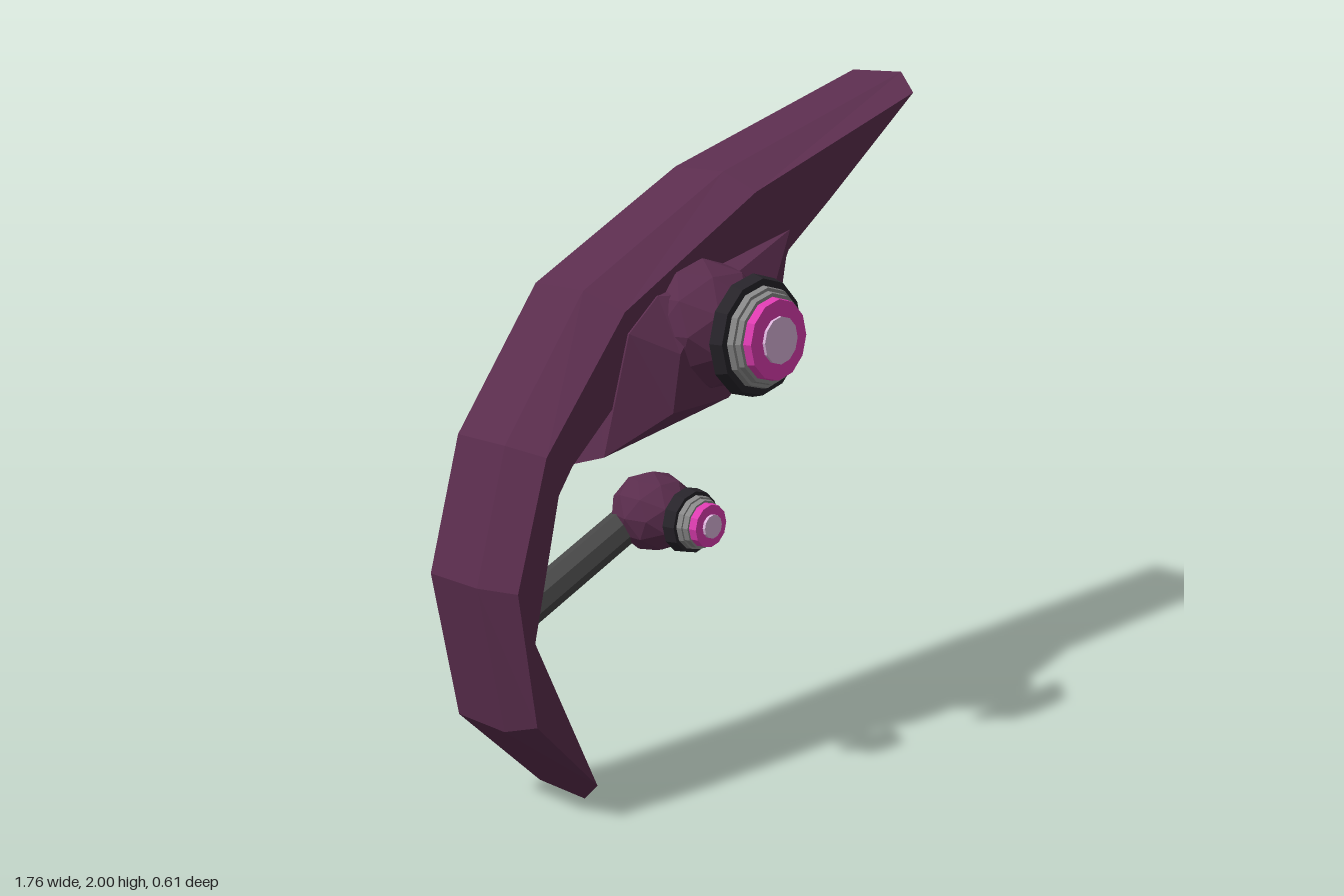
import * as THREE from 'three';

const mat = (name, color) => {
  const m = new THREE.MeshStandardMaterial({ color, flatShading: true });
  m.name = name;
  return m;
};

// Joins stacked outlines (counter-clockwise, back to front) and caps both ends
function loft(layers) {
  const n = layers[0].length;
  const pos = [];
  const tri = (a, b, c) => pos.push(...a, ...b, ...c);
  for (let k = 0; k < layers.length - 1; k++) {
    const lo = layers[k], hi = layers[k + 1];
    for (let i = 0; i < n; i++) {
      const j = (i + 1) % n;
      tri(lo[i], lo[j], hi[j]);
      tri(lo[i], hi[j], hi[i]);
    }
  }
  const cap = (layer, front) => {
    const pts = layer.map(([x, y]) => new THREE.Vector2(x, y));
    for (const [a, b, c] of THREE.ShapeUtils.triangulateShape(pts, [])) {
      const ccw = (pts[b].x - pts[a].x) * (pts[c].y - pts[a].y) - (pts[b].y - pts[a].y) * (pts[c].x - pts[a].x) > 0;
      if (ccw === front) tri(layer[a], layer[b], layer[c]);
      else tri(layer[a], layer[c], layer[b]);
    }
  };
  cap(layers[0], false);
  cap(layers[layers.length - 1], true);
  const g = new THREE.BufferGeometry();
  g.setAttribute('position', new THREE.Float32BufferAttribute(pos, 3));
  g.computeVertexNormals();
  return g;
}

const at = (outline, z) => outline.map(([x, y]) => [x, y, z]);

export function createModel() {
  const model = new THREE.Group();
  const plum = mat('plum shell', 0x5a2d4d);
  const black = mat('black collar', 0x27242a);
  const steel = mat('steel ring', 0x888888);
  const magenta = mat('magenta glow', 0xdd3cb0);
  const pale = mat('pale lens', 0xdab4da);
  const iron = mat('iron rod', 0x474747);

  const add = (name, geometry, material, parent = model) => {
    const m = new THREE.Mesh(geometry, material);
    m.name = name;
    parent.add(m);
    return m;
  };

  // Crescent hull with a bevelled front rim
  const rim = [
    [0.88, 2], [0.07, 1.75], [-0.48, 1.47], [-0.77, 1.09], [-0.88, 0.72], [-0.8, 0.29], [-0.51, 0],
    [-0.75, 0.57], [-0.64, 0.95], [-0.6, 1.0], [-0.31, 1.22], [0.18, 1.34], [0.24, 1.47], [0.43, 1.6],
  ];
  const face = [
    [0.79, 1.945], [0.08, 1.7], [-0.44, 1.42], [-0.73, 1.07], [-0.84, 0.72], [-0.785, 0.33], [-0.57, 0.095],
    [-0.785, 0.57], [-0.69, 0.96], [-0.64, 1.03], [-0.37, 1.27], [0.15, 1.39], [0.22, 1.52], [0.4, 1.65],
  ];
  add('crescentHull', loft([at(rim, -0.305), at(rim, -0.11), at(face, 0.01)]), plum);

  // Faceted belly filling the inside of the crescent
  const back = [[0.2, 1.5], [-0.33, 1.45], [-0.45, 1.36], [-0.6, 1.0], [-0.155, 1.12], [0.18, 1.34]];
  const front = [[0.22, 1.58], [-0.32, 1.45], [-0.43, 1.36], [-0.53, 1.035], [-0.15, 1.13], [0.17, 1.335]];
  const crown = [[0.05, 1.42], [-0.2, 1.45], [-0.32, 1.3], [-0.35, 1.14], [-0.13, 1.15], [0.05, 1.28]];
  add('belly', loft([at(back, -0.303), at(back, -0.1), at(front, 0.015), at(crown, 0.1)]), plum);

  // Faceted balls
  const ball = (name, x, y, z, r, sz = 1) => {
    const b = add(name, new THREE.IcosahedronGeometry(r, 1), plum);
    b.position.set(x, y, z);
    b.scale.z = sz;
  };
  ball('mainSocket', -0.145, 1.345, 0.015, 0.19);
  ball('lowerKnob', -0.045, 1.225, -0.045, 0.1, 1.12);
  ball('lowerPod', -0.3, 0.83, -0.03, 0.115, 1.12);

  // Stepped lens: [name, back radius, front radius, back z, front z, material]
  const lens = (name, x, y, s, steps) => {
    const g = new THREE.Group();
    g.name = name;
    g.position.set(x, y, 0);
    for (const [part, r0, r1, z0, z1, m] of steps) {
      const geo = new THREE.CylinderGeometry(r1 * s, r0 * s, z1 - z0, 12);
      geo.rotateX(Math.PI / 2).translate(0, 0, (z0 + z1) / 2);
      add(part, geo, m, g);
    }
    model.add(g);
  };
  lens('mainLens', -0.14, 1.34, 1, [
    ['collar', 0.172, 0.162, 0.2, 0.238, black],
    ['outerRing', 0.143, 0.139, 0.238, 0.256, steel],
    ['innerRing', 0.13, 0.126, 0.256, 0.272, steel],
    ['glow', 0.116, 0.112, 0.272, 0.297, magenta],
    ['pupil', 0.066, 0.066, 0.297, 0.306, pale],
  ]);
  lens('lowerLens', -0.3, 0.83, 0.54, [
    ['collar', 0.172, 0.162, 0.098, 0.136, black],
    ['outerRing', 0.143, 0.139, 0.136, 0.153, steel],
    ['innerRing', 0.13, 0.126, 0.153, 0.17, steel],
    ['glow', 0.116, 0.112, 0.17, 0.194, magenta],
    ['pupil', 0.062, 0.062, 0.194, 0.203, pale],
  ]);

  // Rod carrying the lower pod
  const a = new THREE.Vector3(-0.7, 0.61, -0.13), b = new THREE.Vector3(-0.32, 0.82, -0.07);
  const dir = b.clone().sub(a);
  const rod = add('podRod', new THREE.CylinderGeometry(0.052, 0.052, dir.length(), 8), iron);
  rod.position.copy(a).add(b).multiplyScalar(0.5);
  rod.quaternion.setFromUnitVectors(new THREE.Vector3(0, 1, 0), dir.normalize());

  return model;
}
